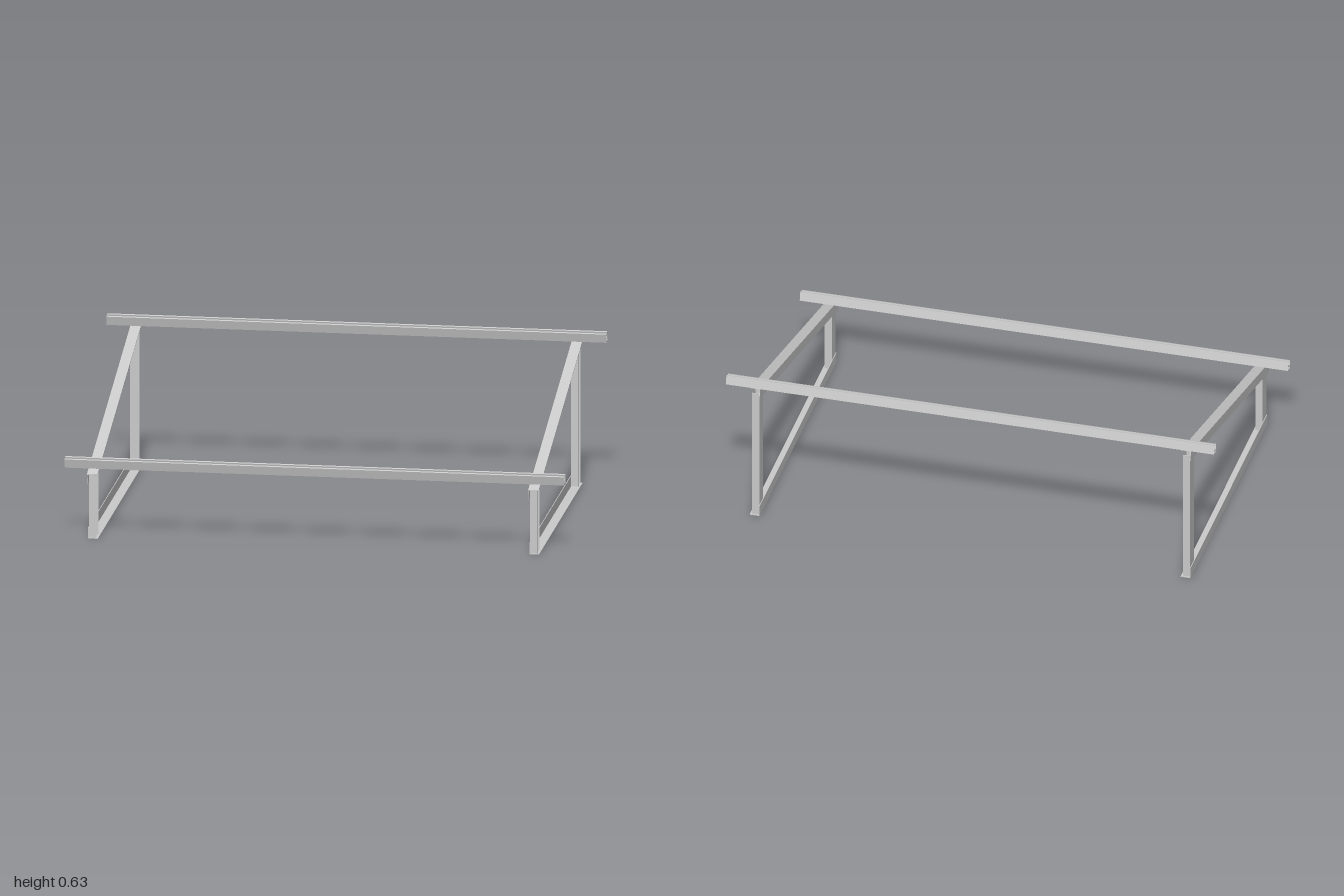
import * as THREE from 'three';

const T = 0.003; // sheet thickness
const SLOPE = THREE.MathUtils.degToRad(15);
const material = new THREE.MeshStandardMaterial({ color: 0xcccccc });

// Extrudes an outline along +z
function profile(name, points, length) {
  const shape = new THREE.Shape(points.map(([x, y]) => new THREE.Vector2(x, y)));
  const geometry = new THREE.ExtrudeGeometry(shape, { depth: length, bevelEnabled: false });
  const mesh = new THREE.Mesh(geometry, material);
  mesh.name = name;
  return mesh;
}

// Base: angle section with a floor flange and an upright leg on the -x side
function makeBase() {
  const w = 0.04, h = 0.045;
  const base = profile('baseAngle', [[0, 0], [w, 0], [w, T], [T, T], [T, h], [0, h]], 1.175);
  base.position.z = -0.603;
  return base;
}

// Post: channel section, web on the -x side, open towards +x
function makePost(name, zFront, height) {
  const d = 0.03, w = 0.056;
  const post = profile(name, [
    [0, 0], [d, 0], [d, T], [T, T], [T, w - T], [d, w - T], [d, w], [0, w],
  ], height - T);
  post.rotation.x = -Math.PI / 2;
  post.position.set(T, T, zFront);
  return post;
}

// Sloping beam: angle section with the flange on top
function makeBeam() {
  const w = 0.042, h = 0.041, length = 1.24;
  const beam = profile('slopingBeam', [[0, -h], [T, -h], [T, -T], [w, -T], [w, 0], [0, 0]], length);
  beam.position.z = -length;
  const tilted = new THREE.Group();
  tilted.name = 'beam';
  tilted.add(beam);
  return placeOnSlope(tilted);
}

// Moves a group to the front upper end of the slope and tilts it
function placeOnSlope(group) {
  group.position.set(0, 0.27, 0.605);
  group.rotation.x = SLOPE;
  return group;
}

// Mounting rail: thin-walled section with a lipped slot above and below
function makeRail(name, distance) {
  const w = 0.014, h = 0.037, t = 0.0022, lip = 0.006, bar = 0.015;
  const half = [
    [lip, 0], [w, 0], [w, h], [lip, h], [lip, h - t], [w - t, h - t],
    [w - t, bar + t],
  ];
  const lower = [[w - t, bar], [w - t, t], [lip, t]];
  const mirror = (pts) => pts.map(([x, y]) => [-x, y]).reverse();
  const rail = profile(name, [...half, ...mirror(half), ...mirror(lower), ...lower], 2);
  rail.rotation.y = Math.PI / 2;
  rail.position.set(-1, 0, -distance);
  return rail;
}

export function createModel() {
  const model = new THREE.Group();
  model.name = 'mountingFrame';

  // Two identical side frames
  for (const [name, x] of [['rightFrame', -0.905], ['leftFrame', 0.86]]) {
    const frame = new THREE.Group();
    frame.name = name;
    frame.add(
      makeBase(),
      makePost('frontPost', 0.569, 0.278),
      makePost('rearPost', -0.54, 0.568),
      makeBeam(),
    );
    frame.position.x = x;
    model.add(frame);
  }

  // Two rails across the beams
  const rails = placeOnSlope(new THREE.Group());
  rails.name = 'rails';
  rails.add(makeRail('frontRail', 0.062), makeRail('rearRail', 1.231));
  model.add(rails);
  return model;
}
